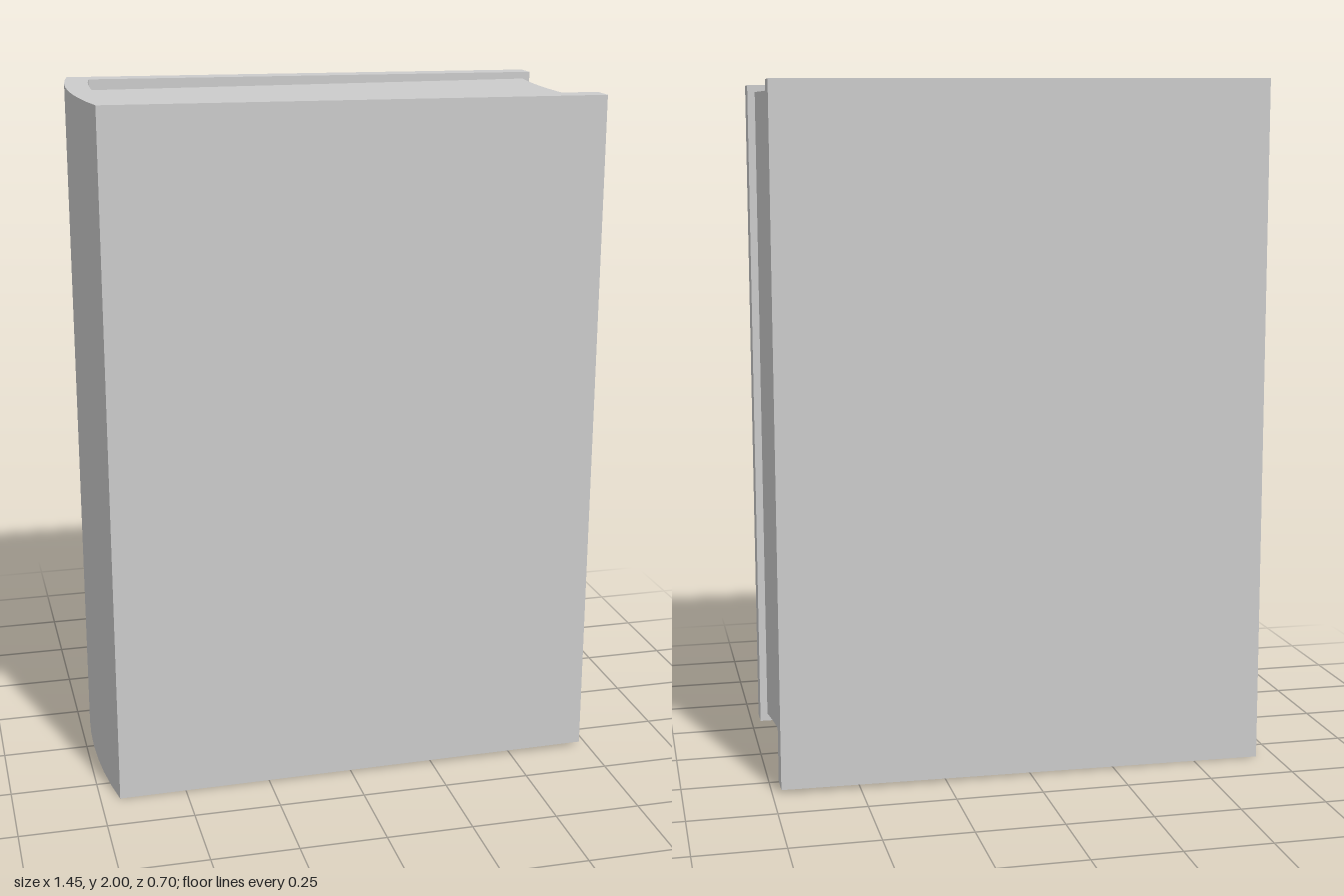
import * as THREE from 'three';
import { toCreasedNormals } from 'three/addons/utils/BufferGeometryUtils.js';

const material = new THREE.MeshStandardMaterial({ color: 0xcccccc });

// Shallow arc from z = z0 to z = -z0, with x running from the edge value to the middle value
function arc(edgeX, middleX, z0, steps = 8) {
  const points = [];
  for (let i = 0; i <= steps; i++) {
    const t = 1 - (2 * i) / steps;
    points.push(new THREE.Vector2(middleX + (edgeX - middleX) * t * t, t * z0));
  }
  return points;
}

// Upright prism with a plan outline, standing between two heights
function upright(name, outline, bottom, top) {
  const geometry = new THREE.ExtrudeGeometry(new THREE.Shape(outline), {
    depth: top - bottom, bevelEnabled: false,
  });
  geometry.rotateX(-Math.PI / 2).translate(0, bottom, 0);
  const mesh = new THREE.Mesh(geometry, material);
  mesh.name = name;
  return mesh;
}

export function createModel() {
  const book = new THREE.Group();
  book.name = 'book';

  // Cover: two boards joined by a rounded spine, as one U-shaped outline
  const cover = upright('cover', [
    new THREE.Vector2(0.725, 0.352),
    ...arc(-0.694, -0.728, 0.352),
    new THREE.Vector2(0.725, -0.352),
    new THREE.Vector2(0.725, -0.279),
    ...arc(-0.638, -0.661, -0.279),
    new THREE.Vector2(0.725, 0.279),
  ], 0, 2);

  // The cover gets slightly shorter towards the opening edge
  const position = cover.geometry.attributes.position;
  for (let i = 0; i < position.count; i++) {
    const inset = 0.012 * (position.getX(i) + 0.728) / 1.453;
    position.setY(i, position.getY(i) > 1 ? 2 - inset : inset);
  }
  cover.geometry = toCreasedNormals(cover.geometry, 0.2);

  // Page block: rounded at the spine, hollow at the fore edge
  const pages = upright('pages', [
    ...arc(-0.638, -0.661, 0.279),
    ...arc(0.703, 0.682, -0.279),
  ], 0.035, 1.968);
  pages.geometry = toCreasedNormals(pages.geometry, 0.2);

  book.add(cover, pages);
  return book;
}
